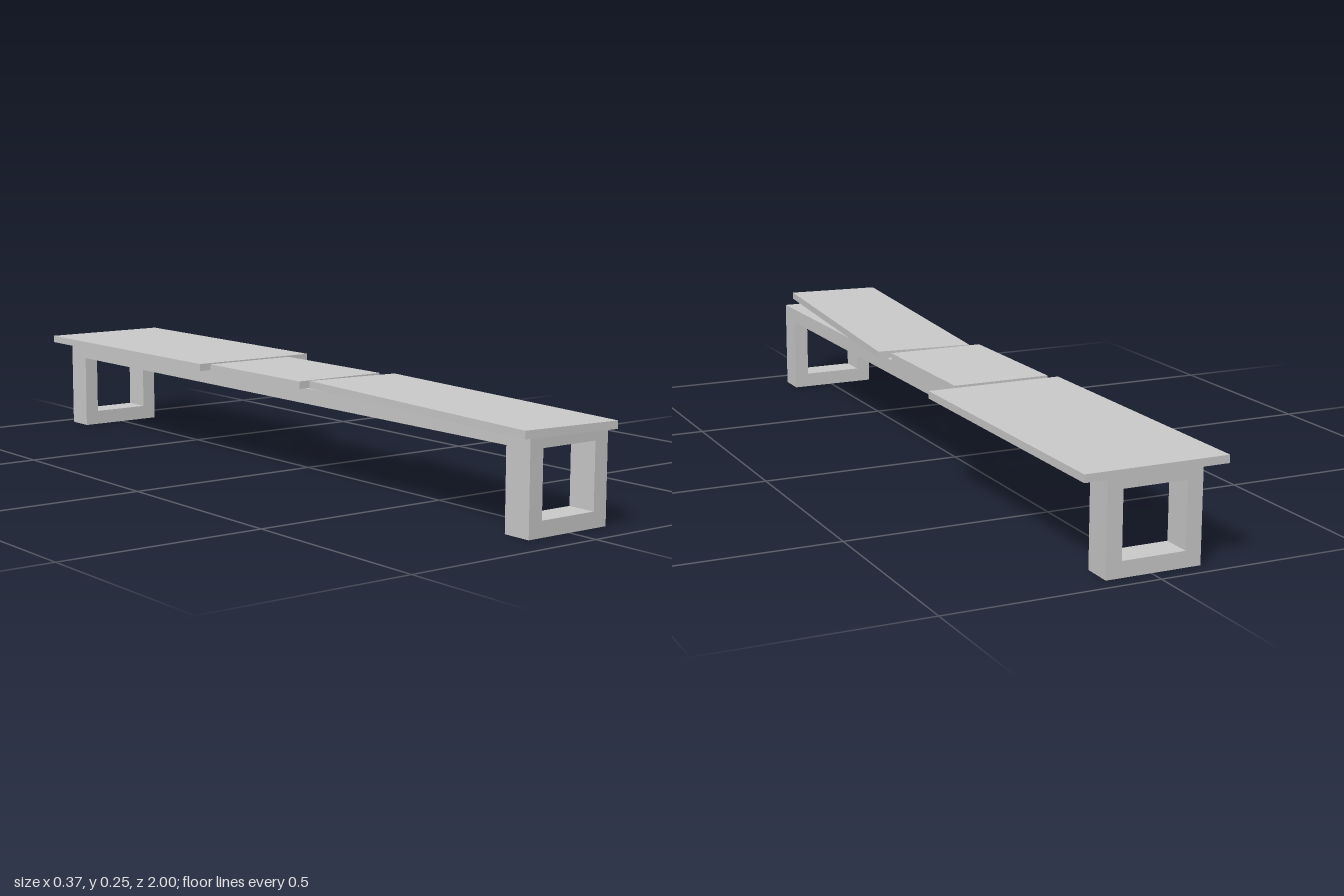
import * as THREE from 'three';

const material = new THREE.MeshStandardMaterial({ color: 0xcccccc, flatShading: true });

// Box given by its limits on each axis
function box(name, [x0, x1], [y0, y1], [z0, z1]) {
  const mesh = new THREE.Mesh(new THREE.BoxGeometry(x1 - x0, y1 - y0, z1 - z0), material);
  mesh.position.set((x0 + x1) / 2, (y0 + y1) / 2, (z0 + z1) / 2);
  mesh.name = name;
  return mesh;
}

const rect = (x0, x1, y0, y1) => [
  new THREE.Vector2(x0, y0), new THREE.Vector2(x1, y0),
  new THREE.Vector2(x1, y1), new THREE.Vector2(x0, y1),
];

export function createModel() {
  const model = new THREE.Group();
  model.name = 'bench';

  const left = 0.108, right = -0.118, bar = 0.037;
  const frameTop = 0.228, slabTop = 0.246;
  const legDepth = 0.073, front = 0.922, back = -0.96;

  // Square leg frames at both ends
  const ring = new THREE.Shape(rect(right, left, 0, frameTop));
  ring.holes.push(new THREE.Path(rect(right + bar, left - bar, bar, frameTop - bar)));
  const legGeometry = new THREE.ExtrudeGeometry(ring, { depth: legDepth, bevelEnabled: false });
  for (const [name, z] of [['frontLegFrame', front - legDepth], ['backLegFrame', back]]) {
    const leg = new THREE.Mesh(legGeometry, material);
    leg.name = name;
    leg.position.z = z;
    model.add(leg);
  }

  // Long rails joining the leg frames
  const railY = [frameTop - bar, frameTop];
  const railZ = [back + legDepth, front - legDepth];
  model.add(box('leftRail', [left - bar, left], railY, railZ));
  model.add(box('rightRail', [right, right + bar], railY, railZ));

  // Seat boards: wide back, narrow middle, and a skewed front one
  const slabY = [frameTop, slabTop];
  model.add(box('backSeatBoard', [-0.155, 0.184], slabY, [-1, -0.25]));
  model.add(box('middleSeatBoard', [-0.137, left], slabY, [-0.23, 0.148]));
  const frontBoard = box('frontSeatBoard', [-0.1495, 0.0945], slabY, [0.1645, 0.9905]);
  frontBoard.rotation.y = -0.09;
  model.add(frontBoard);

  return model;
}
